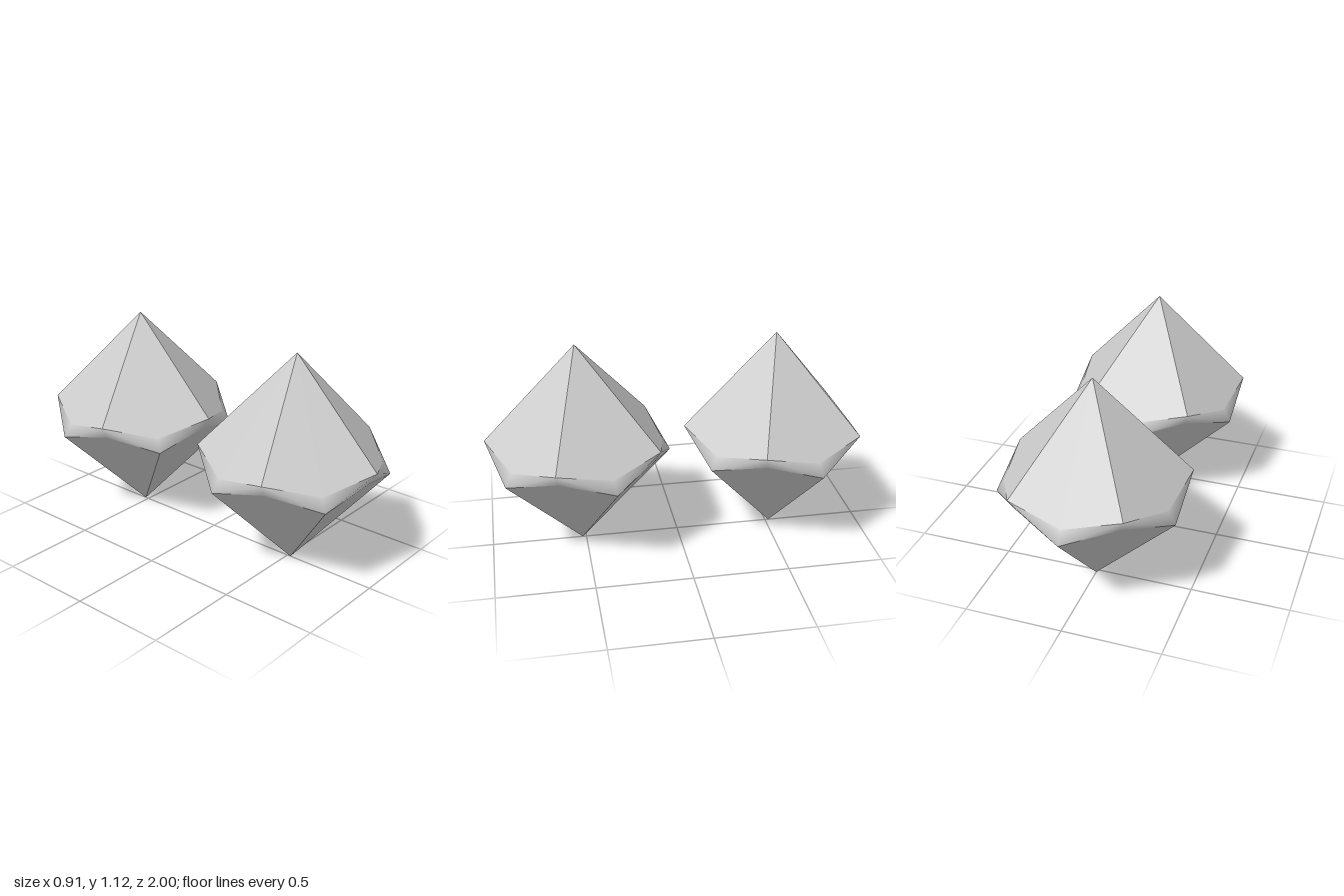
import * as THREE from 'three';

const SIDES = 10;          // zigzag points around the girdle
const MID = 0.5575;        // girdle height
const RISE = 0.0647;       // height of the outer corners above or below the girdle
const R = 0.481;           // outer corner radius
// inner corner radius that keeps every kite face flat
const INNER = R * Math.cos(Math.PI / 5) * MID / (MID - RISE);

// Zigzag ring: outer corners on even (crown) or odd (base) points
function zigzag(outerParity, sign) {
  return Array.from({ length: SIDES }, (_, i) => {
    const a = i * 2 * Math.PI / SIDES;
    const outer = i % 2 === outerParity;
    const r = outer ? R : INNER;
    return new THREE.Vector3(Math.sin(a) * r, MID + (outer ? sign * RISE : 0), Math.cos(a) * r);
  });
}

function geometryFrom(points, index, flat) {
  let g = new THREE.BufferGeometry().setFromPoints(points);
  g.setIndex(index);
  if (flat) g = g.toNonIndexed();
  g.computeVertexNormals();
  return g;
}

// Five kite faces meeting at an apex
function kiteCone(ring, apexY) {
  const index = [];
  for (let i = 0; i < SIDES; i++) {
    const j = (i + 1) % SIDES;
    if (apexY > MID) index.push(SIDES, i, j);
    else index.push(SIDES, j, i);
  }
  return geometryFrom([...ring, new THREE.Vector3(0, apexY, 0)], index, true);
}

// Smooth band joining the two zigzags, split along the outer diagonals
function band(top, bottom) {
  const index = [];
  for (let i = 0; i < SIDES; i++) {
    const j = (i + 1) % SIDES, b = i + SIDES, c = j + SIDES;
    if (i % 2 === 0) index.push(i, b, c, i, c, j);
    else index.push(i, b, j, b, c, j);
  }
  return geometryFrom([...top, ...bottom], index, false);
}

export function createModel() {
  const model = new THREE.Group();
  model.name = 'tenSidedDicePair';
  const grey = new THREE.MeshStandardMaterial({ color: 0xcccccc });
  grey.name = 'light grey';

  const top = zigzag(0, 1), bottom = zigzag(1, -1);
  const parts = {
    upperFaces: kiteCone(top, 2 * MID),
    girdleBand: band(top, bottom),
    lowerFaces: kiteCone(bottom, 0),
  };

  // Two identical dice, one behind the other
  for (const [name, z] of [['frontDie', 0.519], ['backDie', -0.519]]) {
    const die = new THREE.Group();
    die.name = name;
    for (const [part, geometry] of Object.entries(parts)) {
      const mesh = new THREE.Mesh(geometry, grey);
      mesh.name = part;
      die.add(mesh);
    }
    die.position.z = z;
    model.add(die);
  }
  return model;
}
